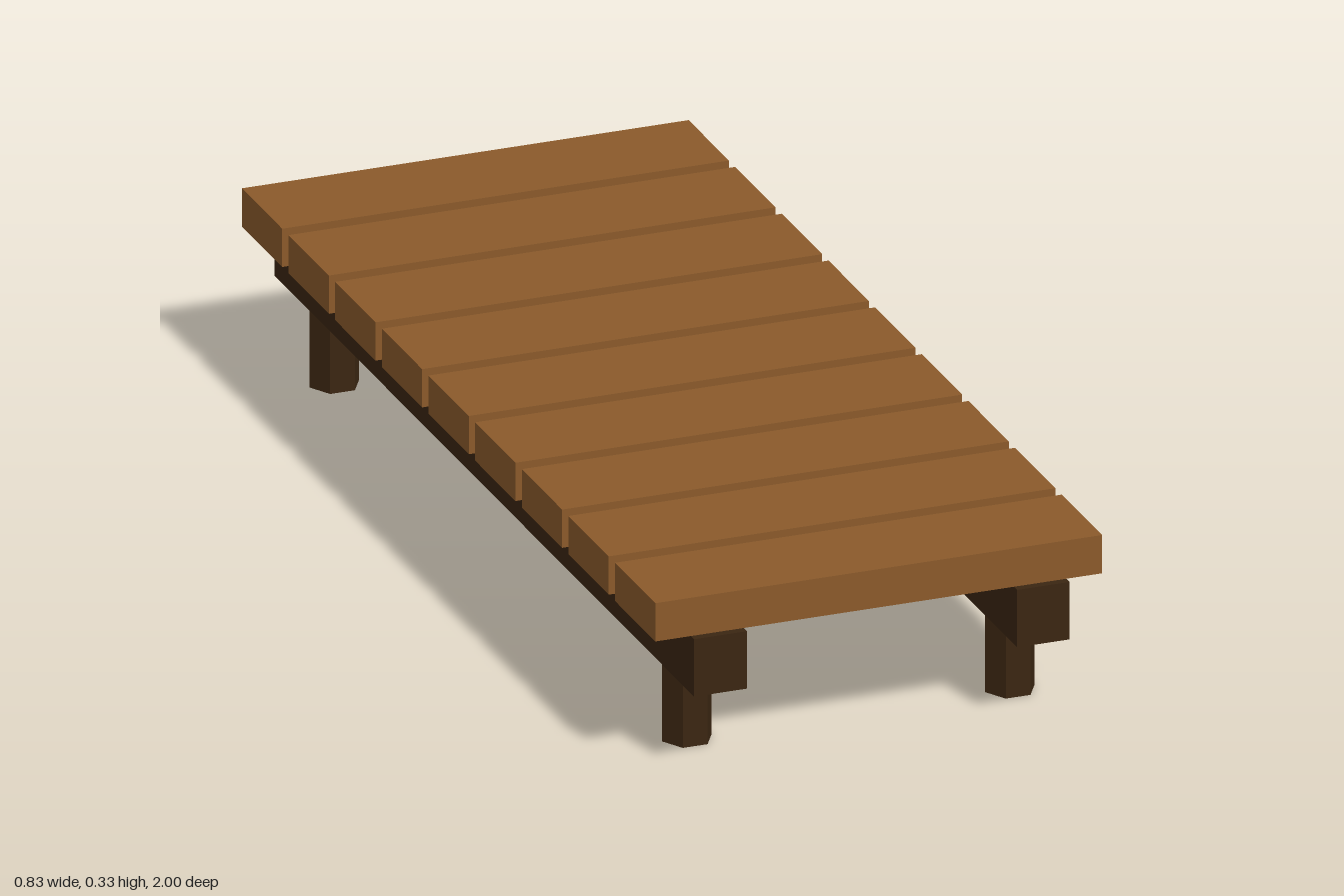
import * as THREE from 'three';

export function createModel() {
  const model = new THREE.Group();
  model.name = 'plankWalkway';

  const plankWood = new THREE.MeshStandardMaterial({ color: 0x8b5a2b });
  plankWood.name = 'plank wood';
  const darkWood = new THREE.MeshStandardMaterial({ color: 0x3b2612 });
  darkWood.name = 'dark wood';

  const add = (name, geometry, material, x, y, z) => {
    const mesh = new THREE.Mesh(geometry, material);
    mesh.name = name;
    mesh.position.set(x, y, z);
    model.add(mesh);
  };

  // Nine evenly spaced deck planks
  const plank = new THREE.BoxGeometry(0.83, 0.072, 0.192);
  for (let i = 0; i < 9; i++) {
    add(`plank${i + 1}`, plank, plankWood, 0, 0.292, (i - 4) * 0.2222);
  }

  // Two long beams, each on a pair of hexagonal posts
  const beam = new THREE.BoxGeometry(0.098, 0.108, 2);
  const post = new THREE.CylinderGeometry(0.046, 0.046, 0.15, 6, 1, false, Math.PI / 6)
    .toNonIndexed();
  post.computeVertexNormals();
  for (const [side, sx] of [['left', 1], ['right', -1]]) {
    add(`${side}Beam`, beam, darkWood, sx * 0.3, 0.202, 0);
    for (const [end, sz] of [['Front', 1], ['Back', -1]]) {
      add(`${side}${end}Post`, post, darkWood, sx * 0.3, 0.075, sz * 0.84);
    }
  }

  return model;
}
